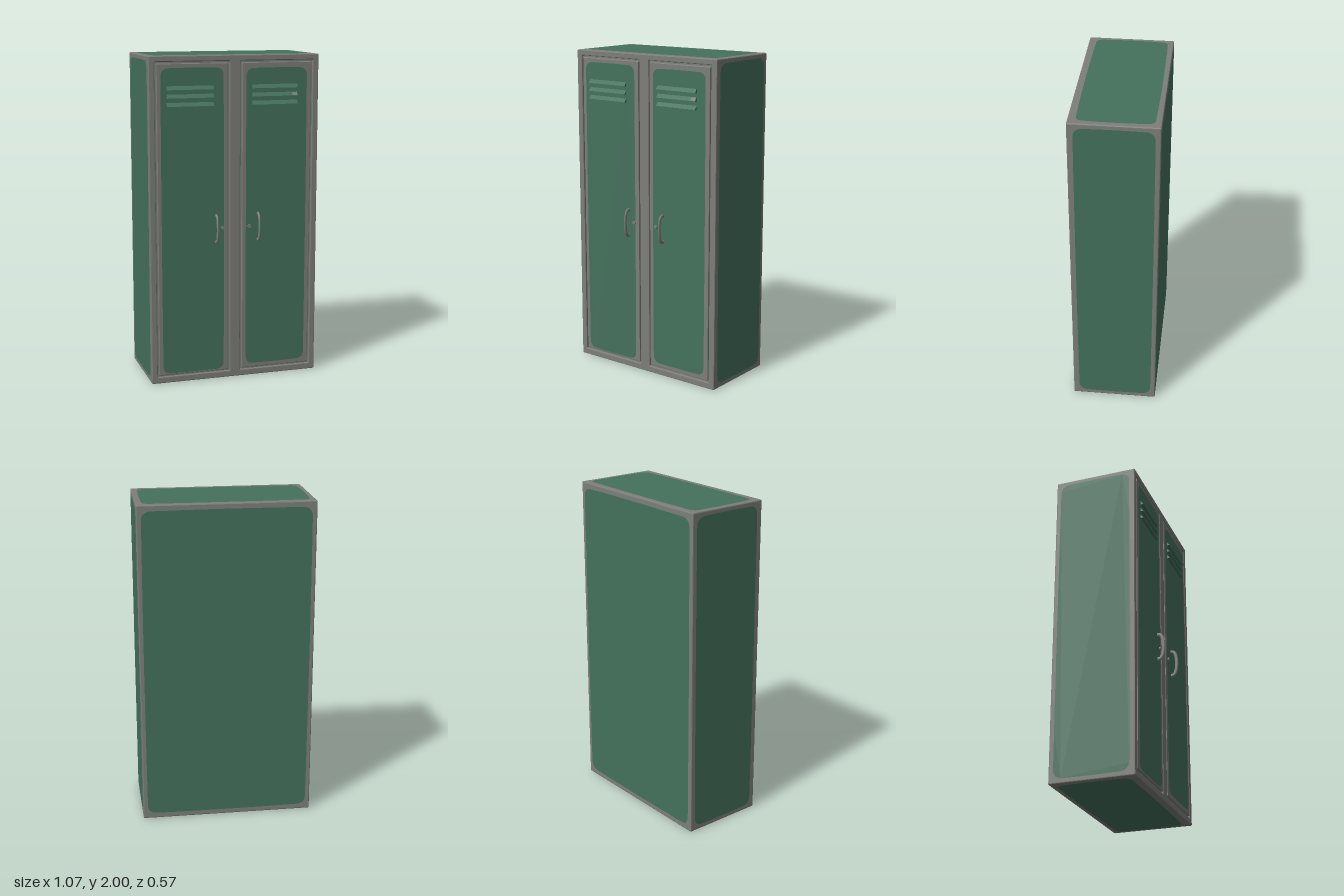
import * as THREE from 'three';

const green = new THREE.MeshStandardMaterial({ color: 0x44715c });
green.name = 'green paint';
const grey = new THREE.MeshStandardMaterial({ color: 0x7d7f79 });
grey.name = 'bare grey metal';

const W = 0.531, H = 2, BACK = -0.285, FRONT = 0.235;

// Rounded rectangle outline; bow pushes each side outward a little
function outline(x0, y0, x1, y1, r, bow = 0, Type = THREE.Shape) {
  const mx = (x0 + x1) / 2, my = (y0 + y1) / 2;
  const s = new Type();
  s.moveTo(x0 + r, y0);
  s.quadraticCurveTo(mx, y0 - bow, x1 - r, y0);
  s.quadraticCurveTo(x1, y0, x1, y0 + r);
  s.quadraticCurveTo(x1 + bow, my, x1, y1 - r);
  s.quadraticCurveTo(x1, y1, x1 - r, y1);
  s.quadraticCurveTo(mx, y1 + bow, x0 + r, y1);
  s.quadraticCurveTo(x0, y1, x0, y1 - r);
  s.quadraticCurveTo(x0 - bow, my, x0, y0 + r);
  s.quadraticCurveTo(x0, y0, x0 + r, y0);
  return s;
}

// Slab between two depths with chamfered edges that stay inside the outline
function slab(shape, z0, z1, bevel) {
  const geo = new THREE.ExtrudeGeometry(shape, {
    depth: z1 - z0 - 2 * bevel, bevelEnabled: true, bevelThickness: bevel,
    bevelSize: bevel, bevelOffset: -bevel, bevelSegments: 2, curveSegments: 4,
  });
  return geo.translate(0, 0, z0 + bevel);
}

export function createModel() {
  const model = new THREE.Group();
  model.name = 'locker';

  function add(name, geo, material, parent = model) {
    const mesh = new THREE.Mesh(geo, material);
    mesh.name = name;
    parent.add(mesh);
    return mesh;
  }

  // Painted area lying just above a face
  function paint(name, shape, position, rotation, parent = model) {
    const mesh = add(name, new THREE.ShapeGeometry(shape, 8), green, parent);
    mesh.position.set(...position);
    mesh.rotation.set(...rotation);
  }

  // Cabinet body and front frame with two door openings
  add('cabinetBody', slab(outline(-W, 0, W, H, 0.008), BACK, 0.222, 0.006), grey);
  const frame = outline(-W, 0, W, H, 0.008);
  for (const [a, b] of [[-0.494, -0.034], [0.034, 0.494]]) {
    frame.holes.push(outline(a, 0.04, b, 1.965, 0.006, 0, THREE.Path));
  }
  add('frontFrame', slab(frame, 0.2, FRONT, 0.005), grey);

  // Paint on sides, back, top and bottom
  const lift = 0.0015, q = Math.PI / 2;
  paint('leftSidePaint', outline(-0.2, 0.03, 0.255, 1.972, 0.06, 0.004), [W + lift, 0, 0], [0, q, 0]);
  paint('rightSidePaint', outline(-0.255, 0.03, 0.2, 1.972, 0.06, 0.004), [-W - lift, 0, 0], [0, -q, 0]);
  paint('backPaint', outline(-0.503, 0.035, 0.503, 1.965, 0.06, 0.006), [0, 0, BACK - lift], [0, Math.PI, 0]);
  paint('topPaint', outline(-0.498, -0.19, 0.494, 0.25, 0.045, 0.01), [0, H + lift, 0], [-q, 0, 0]);
  paint('bottomPaint', outline(-0.496, -0.25, 0.496, 0.19, 0.045, 0.01), [0, -lift, 0], [q, 0, 0]);

  // Louvre: wedge that is widest at its lower edge
  const wedge = new THREE.Shape();
  wedge.moveTo(0, 0);
  wedge.lineTo(0.019, 0);
  wedge.lineTo(0.019, 0.003);
  wedge.lineTo(0.002, 0.025);
  wedge.lineTo(0, 0.025);
  const louvreGeo = new THREE.ExtrudeGeometry(wedge, { depth: 0.287, bevelEnabled: false });
  louvreGeo.rotateY(-q).translate(0.1435, 0, 0);

  // Handle: flattened bow in the vertical plane
  const bow = new THREE.CatmullRomCurve3([
    [-0.01, 1.032], [0.012, 1.034], [0.028, 1.022], [0.038, 0.985],
    [0.038, 0.92], [0.028, 0.884], [0.012, 0.871], [-0.01, 0.873],
  ].map(([z, y]) => new THREE.Vector3(0, y, z)));
  const handleGeo = new THREE.TubeGeometry(bow, 40, 0.011, 10);
  handleGeo.scale(0.6, 1, 1);
  const knobGeo = new THREE.CylinderGeometry(0.011, 0.012, 0.02, 16).rotateX(q);

  const doors = [
    { name: 'rightDoor', x0: -0.484, x1: -0.044, paint: [-0.459, 0.06, -0.073, 1.928], louvre: -0.28, handle: -0.121, knob: -0.08 },
    { name: 'leftDoor', x0: 0.044, x1: 0.484, paint: [0.07, 0.077, 0.455, 1.921], louvre: 0.249, handle: 0.145, knob: 0.09 },
  ];
  for (const d of doors) {
    const door = new THREE.Group();
    door.name = d.name;
    model.add(door);
    add('doorPanel', slab(outline(d.x0, 0.05, d.x1, 1.955, 0.006), 0.205, FRONT, 0.004), grey, door);
    paint('doorPaint', outline(...d.paint, 0.05, 0.003), [0, 0, FRONT + lift], [0, 0, 0], door);
    for (const y of [1.798, 1.749, 1.7]) {
      add('louvre', louvreGeo, green, door).position.set(d.louvre, y, FRONT);
    }
    add('handle', handleGeo, grey, door).position.set(d.handle, 0, FRONT);
    add('lockKnob', knobGeo, grey, door).position.set(d.knob, 0.958, FRONT);
  }

  // Worn patch on the middle louvre of the left door
  const chip = add('wornPatch', new THREE.PlaneGeometry(0.032, 0.022), grey);
  chip.rotation.x = -Math.atan2(0.017, 0.022);
  chip.position.set(0.374, 1.764, FRONT + 0.0115);

  return model;
}
